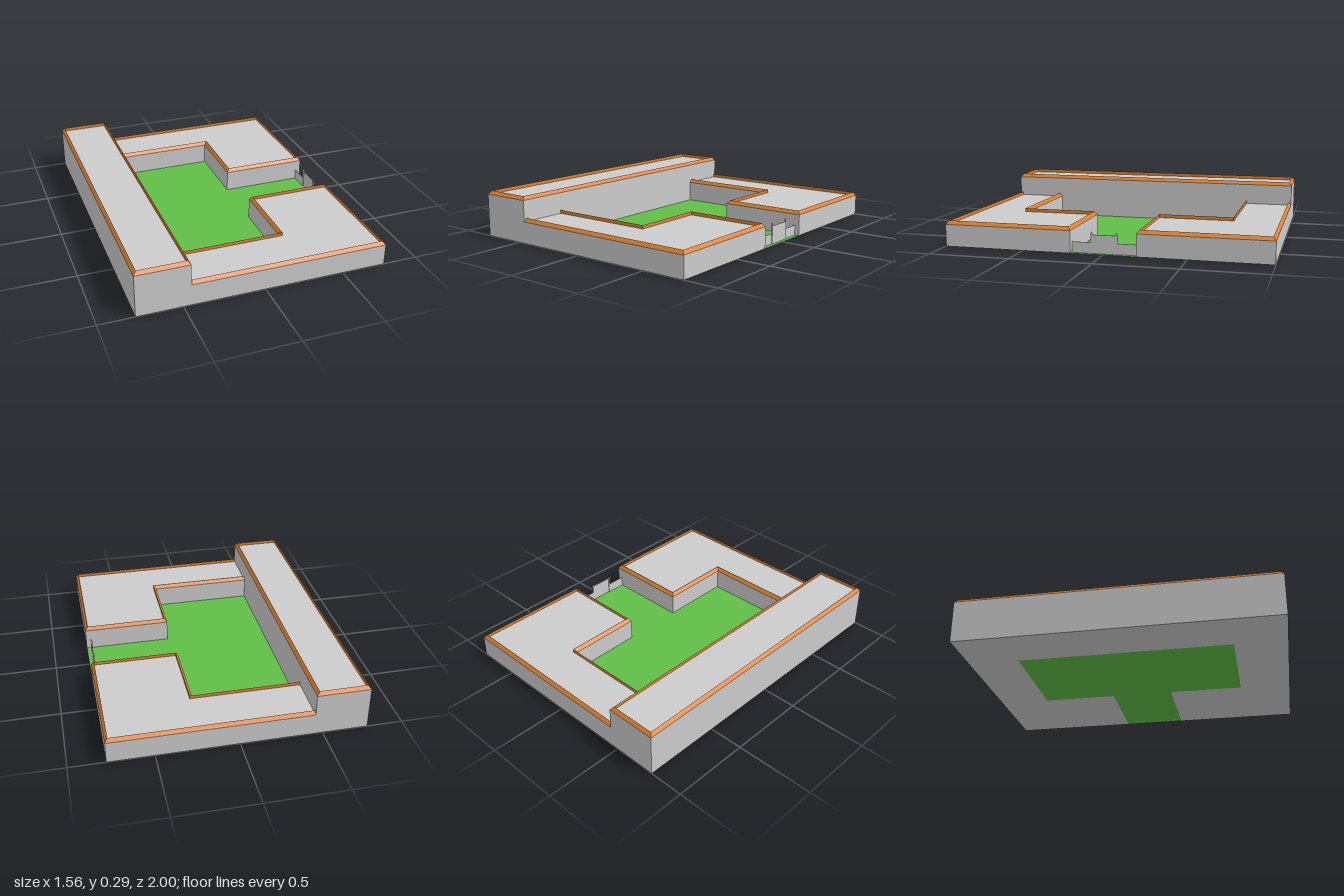
import * as THREE from 'three';

const grey = new THREE.MeshStandardMaterial({ color: 0xcccccc });
const greyThin = new THREE.MeshStandardMaterial({ color: 0xcccccc, side: THREE.DoubleSide });
const orange = new THREE.MeshStandardMaterial({ color: 0xde8230 });
const green = new THREE.MeshStandardMaterial({ color: 0x5fbe47, side: THREE.DoubleSide });

const toShape = (pts) => new THREE.Shape(pts.map(([x, y]) => new THREE.Vector2(x, y)));

function addMesh(parent, name, geometry, material) {
  const mesh = new THREE.Mesh(geometry, material);
  mesh.name = name;
  parent.add(mesh);
  return mesh;
}

// Plan outlines are counter-clockwise [x, -z] points, raised from the ground
function block(pts, height) {
  const g = new THREE.ExtrudeGeometry(toShape(pts), { depth: height, bevelEnabled: false });
  return g.rotateX(-Math.PI / 2);
}

// Rim with a sloped outer face and an upright inner face, mitred at square corners
function rim(pts, base, rise, inset, closed) {
  const n = pts.length;
  const normal = (i) => {
    const [ax, ay] = pts[(i + n) % n], [bx, by] = pts[(i + 1) % n];
    const len = Math.hypot(bx - ax, by - ay);
    return [-(by - ay) / len, (bx - ax) / len];
  };
  const inner = pts.map(([x, y], i) => {
    const a = closed || i > 0 ? normal(i - 1) : [0, 0];
    const b = closed || i < n - 1 ? normal(i) : [0, 0];
    return [x + inset * (a[0] + b[0]), y + inset * (a[1] + b[1])];
  });
  const pos = [];
  const at = ([x, y], h) => [x, h, -y];
  const quad = (a, b, c, d) => pos.push(...a, ...b, ...c, ...a, ...c, ...d);
  for (let i = 0; i < (closed ? n : n - 1); i++) {
    const j = (i + 1) % n, top = base + rise;
    quad(at(pts[i], base), at(pts[j], base), at(inner[j], top), at(inner[i], top));
    quad(at(inner[j], base), at(inner[i], base), at(inner[i], top), at(inner[j], top));
  }
  const g = new THREE.BufferGeometry();
  g.setAttribute('position', new THREE.Float32BufferAttribute(pos, 3));
  g.computeVertexNormals();
  return g;
}

// Thin upright panel from a [-z, y] outline, facing +x
function panel(pts, x, thickness) {
  const g = new THREE.ExtrudeGeometry(toShape(pts), { depth: thickness, bevelEnabled: false });
  return g.rotateY(Math.PI / 2).translate(x, 0, 0);
}

export function createModel() {
  const model = new THREE.Group();
  model.name = 'courtyardBuilding';

  // Tall main hall along the left edge of the plan
  const hall = new THREE.Group();
  hall.name = 'mainHall';
  const hallPlan = [[-0.78, -1], [-0.45, -1], [-0.45, 1], [-0.78, 1]];
  addMesh(hall, 'hallWalls', block(hallPlan, 0.27), grey);
  addMesh(hall, 'hallRoofRim', rim(hallPlan, 0.27, 0.022, 0.018, true), orange);
  model.add(hall);

  // Two mirrored L-shaped low wings; the rim stops where they meet the hall
  const wingPlan = [[-0.45, 0.675], [0.22, 0.675], [0.22, 0.2], [0.78, 0.2], [0.78, 1], [-0.45, 1]];
  for (const s of [1, -1]) {
    const plan = s > 0 ? wingPlan : wingPlan.map(([x, y]) => [x, -y]).reverse();
    const wing = new THREE.Group();
    wing.name = s > 0 ? 'backWing' : 'frontWing';
    addMesh(wing, 'wingWalls', block(plan, 0.136), grey);
    addMesh(wing, 'wingRoofRim', rim(plan, 0.136, 0.022, 0.018, false), orange);
    model.add(wing);
  }

  // Lawn filling the courtyard and the passage
  const lawn = new THREE.ShapeGeometry(toShape([
    [-0.45, -0.675], [0.22, -0.675], [0.22, -0.2], [0.78, -0.2],
    [0.78, 0.2], [0.22, 0.2], [0.22, 0.675], [-0.45, 0.675],
  ]));
  addMesh(model, 'lawn', lawn.rotateX(-Math.PI / 2), green);

  // Low fence across the passage with a raised gate in the middle
  const gate = new THREE.Group();
  gate.name = 'gate';
  for (const s of [1, -1]) {
    const side = s > 0 ? 'back' : 'front';
    const fence = [[0.2, 0], [0.2, 0.065], [0.08, 0.065], [0.08, 0]];
    const post = [[0.081, 0], [0.081, 0.12], [0.077, 0.13], [0.073, 0.12], [0.07, 0.113], [0.07, 0]];
    addMesh(gate, side + 'Fence', panel(fence.map(([z, y]) => [s * z, y]), 0.746, 0.004), greyThin);
    addMesh(gate, side + 'Post', panel(post.map(([z, y]) => [s * z, y]), 0.746, 0.009), greyThin);
  }
  const door = [[-0.07, 0], [0.07, 0], [0.07, 0.113], [-0.07, 0.113]];
  addMesh(gate, 'gatePanel', panel(door, 0.751, 0.004), greyThin);
  model.add(gate);

  return model;
}
